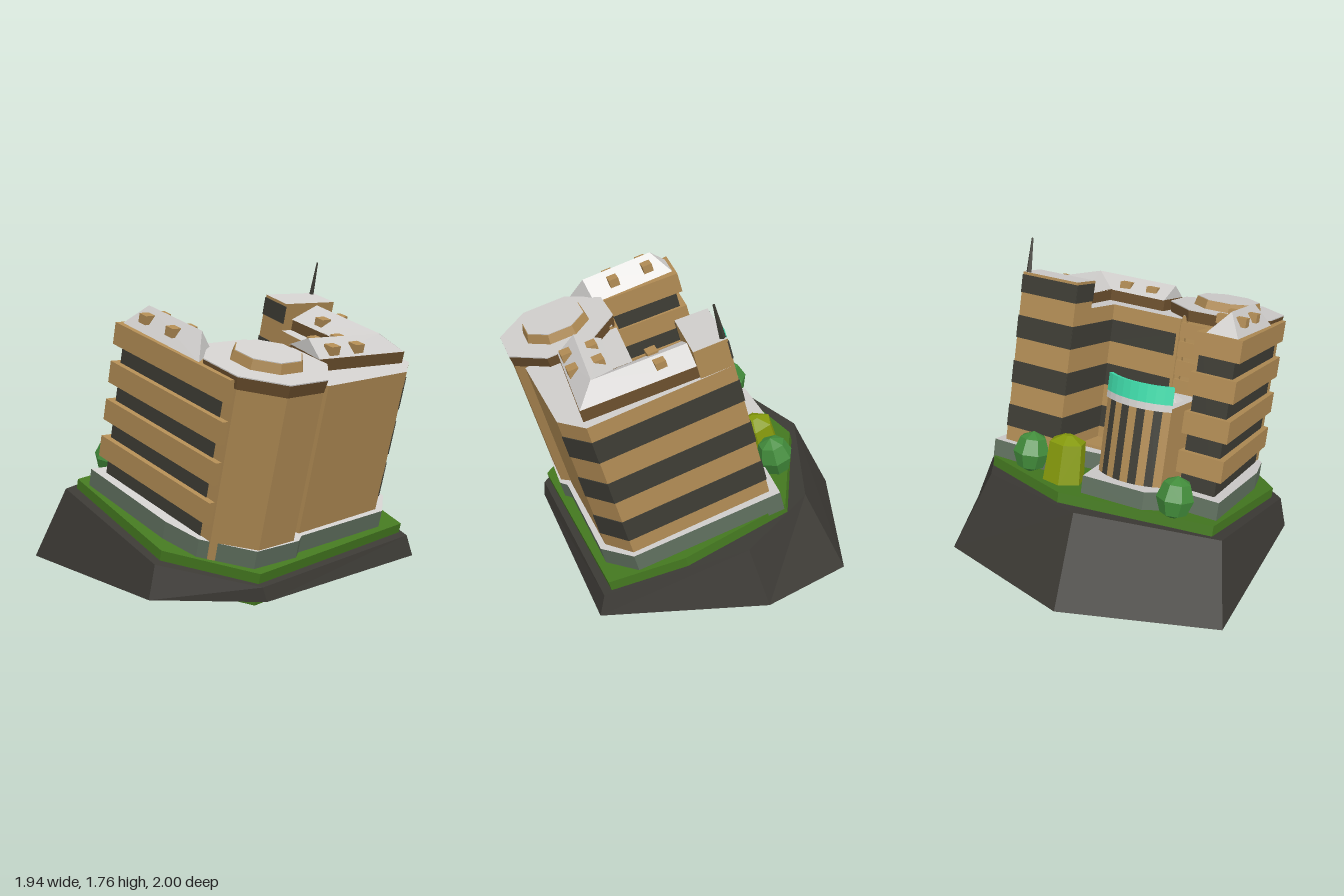
import * as THREE from 'three';
import { ConvexGeometry } from 'three/addons/geometries/ConvexGeometry.js';

const TILT = 0.262;
const mat = (name, color, side = THREE.FrontSide) => {
  const m = new THREE.MeshStandardMaterial({ color, side });
  m.name = name;
  return m;
};

export function createModel() {
  const tan = mat('tan wall', 0xb08b54);
  const dark = mat('window band', 0x3d3c34);
  const brown = mat('brown parapet', 0x6b4f2d);
  const grey = mat('grey roof', 0xd0cecc);
  const stone = mat('podium stone', 0x5f6f5e);
  const grass = mat('lawn green', 0x447820, THREE.DoubleSide);
  const rock = mat('rock', 0x3c3a35, THREE.DoubleSide);
  const leaf = mat('tree green', 0x428c3b);
  const olive = mat('olive bush', 0x85990c);
  const teal = mat('teal sign', 0x3fdaa9);

  const model = new THREE.Group();
  model.name = 'tiltedBuildingOnRock';
  const site = new THREE.Group();
  site.name = 'tiltedSite';
  site.rotation.x = TILT;
  model.add(site);

  const add = (name, geo, m, parent = site) => {
    const mesh = new THREE.Mesh(geo, m);
    mesh.name = name;
    parent.add(mesh);
    return mesh;
  };
  // Flat facets from an indexed geometry
  const facet = (geo) => {
    const flat = geo.toNonIndexed();
    flat.computeVertexNormals();
    return flat;
  };
  // Vertical prism over an [x, z] outline
  const prism = (name, pts, y0, y1, top, side = top) => {
    const shape = new THREE.Shape(pts.map(([x, z]) => new THREE.Vector2(x, -z)));
    const geo = new THREE.ExtrudeGeometry(shape, { depth: y1 - y0, bevelEnabled: false });
    geo.rotateX(-Math.PI / 2).translate(0, y0, 0);
    return add(name, geo, top === side ? top : [top, side]);
  };
  // Open-bottomed shell between two loops listed clockwise from above, closed by a top fan
  const shell = (name, low, high, m, parent) => {
    const n = low.length, index = [];
    for (let i = 0; i < n; i++) {
      const j = (i + 1) % n;
      index.push(i, n + i, j, j, n + i, n + j);
      if (i > 0 && i < n - 1) index.push(n, n + i + 1, n + i);
    }
    const geo = new THREE.BufferGeometry();
    geo.setAttribute('position', new THREE.Float32BufferAttribute([...low, ...high].flat(), 3));
    geo.setIndex(index);
    return add(name, facet(geo), m, parent);
  };
  const box = (name, w, h, d, x, y, z, m) => {
    const mesh = add(name, new THREE.BoxGeometry(w, h, d), m);
    mesh.position.set(x, y, z);
    return mesh;
  };
  const hull = (name, pts, m) =>
    add(name, new ConvexGeometry(pts.map((p) => new THREE.Vector3(...p))), m);
  // Flat-faced cylinder standing on y0
  const drum = (name, rTop, rBase, y0, y1, sides, x, z, turn, m) => {
    const geo = facet(new THREE.CylinderGeometry(rTop, rBase, y1 - y0, sides));
    geo.rotateY(turn).translate(x, (y0 + y1) / 2, z);
    return add(name, geo, m);
  };
  // Roof from a four-cornered eave and a two-point ridge
  const roof = (name, eave, ridge, y0, y1) => hull(name, [
    ...eave.map(([x, z]) => [x, y0, z]), ...ridge.map(([x, z]) => [x, y1, z])], grey);
  // Thin window band along consecutive wall segments
  const bands = (path, y0, y1) => {
    for (let i = 0; i + 1 < path.length; i++) {
      const [ax, az] = path[i], [bx, bz] = path[i + 1];
      box('windowBand', Math.hypot(bx - ax, bz - az) + 0.004, y1 - y0, 0.009,
        (ax + bx) / 2, (y0 + y1) / 2, (az + bz) / 2, dark).rotation.y = Math.atan2(az - bz, bx - ax);
    }
  };

  // Rock: hollow, flat rim below, sloping top
  const rockBase = [[-0.1, -1], [0.755, -0.78], [0.965, -0.25], [0.81, 0.68], [-0.42, 0.81], [-0.89, 0.41], [-0.975, -0.69]];
  const rockTop = [[-0.08, -0.745], [0.6, -0.57], [0.87, -0.15], [0.79, 0.65], [-0.44, 0.8], [-0.85, 0.41], [-0.865, -0.5]];
  shell('rock', rockBase.map(([x, z]) => [x, 0.037, z]),
    rockTop.map(([x, z]) => [x, (0.32 - 0.259 * z) / 0.966, z]), rock, model);

  // Lawn and podium
  const lawn = [[0.07, -0.785], [0.685, -0.535], [0.81, 0.1], [0.77, 0.54], [-0.44, 0.706], [-0.8, 0.31], [-0.8, -0.59]];
  shell('lawn', lawn.map(([x, z]) => [x, 0.19, z]), lawn.map(([x, z]) => [x, 0.379, z]), grass, site);
  prism('podium', [[-0.66, 0.43], [-0.44, 0.65], [-0.14, 0.635], [-0.09, 0.595], [0.6, 0.52], [0.765, 0.36], [0.7, -0.52],
    [0.25, -0.52], [0.25, -0.29], [0.05, -0.25], [-0.02, -0.69], [-0.4, -0.67], [-0.49, -0.58], [-0.49, -0.5],
    [-0.775, -0.5], [-0.72, 0.2]], 0.36, 0.482, grey, stone);
  prism('courtTerrace', [[-0.16, 0.02], [0.3, 0.02], [0.29, -0.2], [-0.04, -0.18]], 0.47, 0.5, tan);
  prism('leftWingFooting', [[-0.74, -0.4], [-0.52, -0.43], [-0.61, 0.3], [-0.66, 0.3]], 0.312, 0.33, tan);

  // Octagonal corner tower
  const cx = -0.32, cz = 0.324, turn = 0.47;
  drum('cornerTower', 0.335, 0.335, 0.37, 1.345, 8, cx, cz, turn, tan);
  drum('cornerTowerParapet', 0.347, 0.337, 1.335, 1.402, 8, cx, cz, turn, brown);
  drum('cornerTowerRoof', 0.347, 0.347, 1.402, 1.408, 8, cx, cz, turn, grey);
  drum('roofDrum', 0.19, 0.205, 1.405, 1.46, 8, cx, cz, turn, tan);
  drum('roofDrumTop', 0.185, 0.185, 1.458, 1.464, 8, cx, cz, turn, grey);

  // Right wing with striped side, rear and court walls
  prism('rightWing', [[-0.085, 0.567], [0.575, 0.488], [0.73, 0.355], [0.655, -0.47], [0.285, -0.47], [0.285, 0], [-0.17, 0], [-0.2, 0.3]],
    0.4, 1.342, grey, tan);
  for (const y of [0.57, 0.84, 1.115]) {
    bands([[0.575, 0.488], [0.73, 0.355], [0.655, -0.47], [0.285, -0.47], [0.285, 0], [-0.15, 0]], y, y + 0.133);
  }
  prism('rightWingParapet', [[0.01, 0.37], [0.665, 0.36], [0.65, -0.28], [0.36, -0.28], [0.38, 0.12], [0.01, 0.12]],
    1.34, 1.41, brown);
  roof('rightWingFrontRoof', [[0.01, 0.11], [0.01, 0.37], [0.665, 0.36], [0.6, 0.12]], [[0.01, 0.25], [0.54, 0.25]], 1.408, 1.49);
  roof('rightWingSideRoof', [[0.35, -0.28], [0.65, -0.28], [0.665, 0.36], [0.38, 0.12]], [[0.53, -0.28], [0.545, 0.25]], 1.408, 1.49);

  // Stair tower with mast
  prism('stairTower', [[0.285, -0.47], [0.655, -0.47], [0.665, -0.28], [0.285, -0.28]], 1.3, 1.506, grey, tan);
  bands([[0.655, -0.47], [0.285, -0.47], [0.285, -0.28]], 1.385, 1.49);
  drum('mast', 0.006, 0.018, 1.5, 1.705, 4, 0.63, -0.452, 0, dark);

  // Link behind the corner tower
  prism('linkBlock', [[-0.55, 0.02], [-0.17, 0.02], [-0.17, 0.25], [-0.55, 0.25]], 0.4, 1.36, grey, tan);
  for (let y = 0.55; y < 1.3; y += 0.115) box('linkLouvre', 0.3, 0.09, 0.04, -0.33, y + 0.04, 0.01, tan);

  // Left wing: dark core with protruding balcony bands
  prism('leftWingCore', [[-0.715, -0.43], [-0.5, -0.43], [-0.48, 0.2], [-0.63, 0.4]], 0.4, 1.37, dark);
  for (const y of [0.58, 0.805, 1.03, 1.255]) {
    prism('balconyBand', [[-0.755, -0.468], [-0.48, -0.468], [-0.47, 0.15], [-0.62, 0.46], [-0.655, 0.46]], y, y + 0.125, tan);
  }
  roof('leftWingRoof', [[-0.72, -0.45], [-0.53, -0.45], [-0.48, 0.06], [-0.66, 0.2]], [[-0.625, -0.36], [-0.58, 0.08]], 1.378, 1.505);

  // Dormers
  const dormers = [[0.125, 1.445, 0.325], [0.31, 1.445, 0.32], [0.125, 1.44, 0.18], [0.305, 1.44, 0.175],
    [0.43, 1.445, -0.1], [0.57, 1.455, -0.11], [-0.665, 1.45, -0.3], [-0.565, 1.45, -0.31], [-0.64, 1.45, -0.08], [-0.54, 1.45, -0.09]];
  for (const [x, y, z] of dormers) box('dormer', 0.07, 0.05, 0.06, x, y, z, tan).rotation.y = 0.08;

  // Rear pavilion with curved striped facade
  const arc = (r, a0, a1, n) => Array.from({ length: n + 1 }, (_, i) => {
    const a = a0 + (a1 - a0) * i / n;
    return [-0.23 + r * Math.sin(a), -0.3 - r * Math.cos(a)];
  });
  const ring = (rIn, rOut, a0, a1, n) => [...arc(rOut, a0, a1, n), ...arc(rIn, a1, a0, n)];
  const A = 0.72;
  prism('pavilion', [...arc(0.3, -A, A, 8), [-0.01, -0.18], [-0.42, -0.14]], 0.4, 0.935, grey, tan);
  for (let i = 0; i < 9; i++) {
    const a = -A + 2 * A * i / 9;
    prism('facadeStrip', ring(0.295, 0.304, a, a + 2 * A / 9, 1), 0.48, 0.93, i % 2 ? dark : tan);
  }
  prism('signLedge', ring(0.288, 0.312, -A, A, 9), 0.92, 0.96, grey);
  prism('curvedSign', ring(0.288, 0.312, -A, A, 9), 0.96, 1.06, teal);
  for (const z of [-0.445, -0.325]) {
    hull('skylight', [[-0.39, 0.93, z - 0.05], [-0.24, 0.93, z - 0.05], [-0.24, 0.93, z + 0.05], [-0.39, 0.93, z + 0.05],
      [-0.315, 0.99, z]], grey);
  }

  // Trees and bush
  const tree = (name, x, y, z) => {
    const mesh = add(name, facet(new THREE.SphereGeometry(0.108, 7, 4)), leaf);
    mesh.scale.y = 1.15;
    mesh.position.set(x, y, z);
    mesh.rotation.y = x * 3;
  };
  tree('leftTree', -0.565, 0.485, -0.615);
  tree('rightTree', 0.385, 0.5, -0.6);
  drum('oliveBush', 0.108, 0.125, 0.37, 0.61, 6, 0.17, -0.57, 0.3, olive);
  drum('oliveBushTop', 0.03, 0.108, 0.61, 0.65, 6, 0.17, -0.57, 0.3, olive);

  return model;
}
